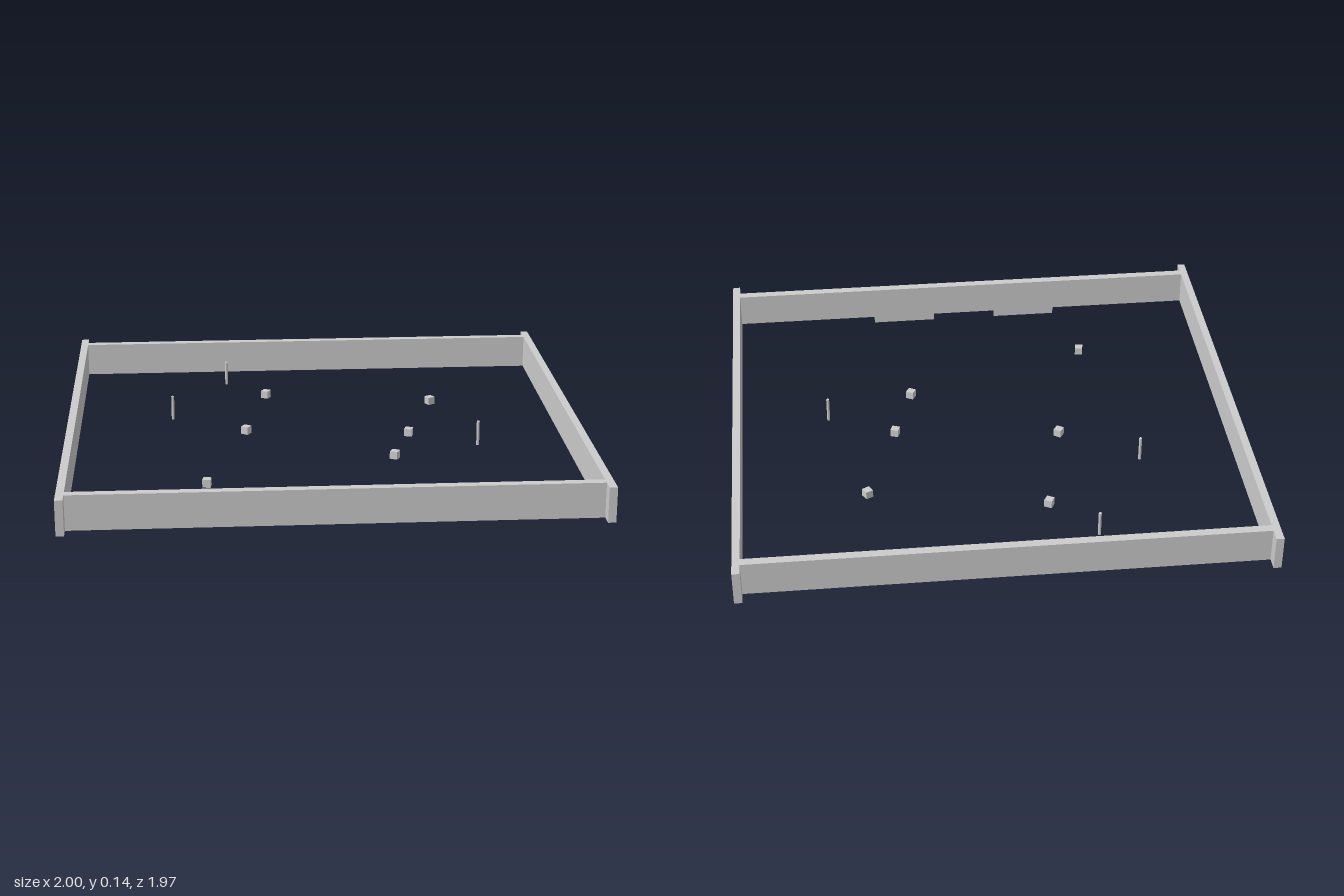
import * as THREE from 'three';

const WALL_HEIGHT = 0.135;
const WALL_THICKNESS = 0.03;

export function createModel() {
  const model = new THREE.Group();
  const grey = new THREE.MeshStandardMaterial({ color: 0xcccccc });
  const thin = new THREE.MeshStandardMaterial({ color: 0xcccccc, side: THREE.DoubleSide });

  // Adds a mesh standing on the ground
  function stand(name, geometry, height, x, z, turn = 0, material = grey) {
    const mesh = new THREE.Mesh(geometry, material);
    mesh.name = name;
    mesh.position.set(x, height / 2, z);
    mesh.rotation.y = turn;
    model.add(mesh);
  }

  // Perimeter walls: the side walls run past the front and back walls
  const sideWall = new THREE.BoxGeometry(WALL_THICKNESS, WALL_HEIGHT, 1.966);
  const endWall = new THREE.BoxGeometry(1.94, WALL_HEIGHT, 0.034);
  for (const s of [-1, 1]) {
    stand(s > 0 ? 'leftWall' : 'rightWall', sideWall, WALL_HEIGHT, s * 0.985, 0);
    stand(s > 0 ? 'frontWall' : 'backWall', endWall, WALL_HEIGHT, 0, s * 0.916);
  }

  // Small cubes scattered on the floor: x, z, turn
  const cubeSize = 0.031;
  const cube = new THREE.BoxGeometry(cubeSize, cubeSize, cubeSize);
  const cubes = [
    [-0.2, -0.524, -0.5], [0.489, -0.396, 0.5], [-0.297, -0.067, -0.6],
    [0.357, 0, -0.35], [0.275, 0.262, -0.5], [-0.462, 0.524, -0.17],
  ];
  for (const [x, z, turn] of cubes) stand('cube', cube, cubeSize, x, z, turn);

  // Slender marker posts
  const post = new THREE.CylinderGeometry(0.006, 0.006, 0.1, 12);
  for (const [x, z] of [[-0.364, -0.72], [-0.594, -0.262], [0.62, 0.131]]) {
    stand('post', post, 0.1, x, z);
  }

  // Thin upright panels just inside the front wall
  const panel = new THREE.PlaneGeometry(0.26, 0.042);
  for (const s of [-1, 1]) stand('panel', panel, 0.042, s * 0.262, 0.853, Math.PI, thin);

  return model;
}
